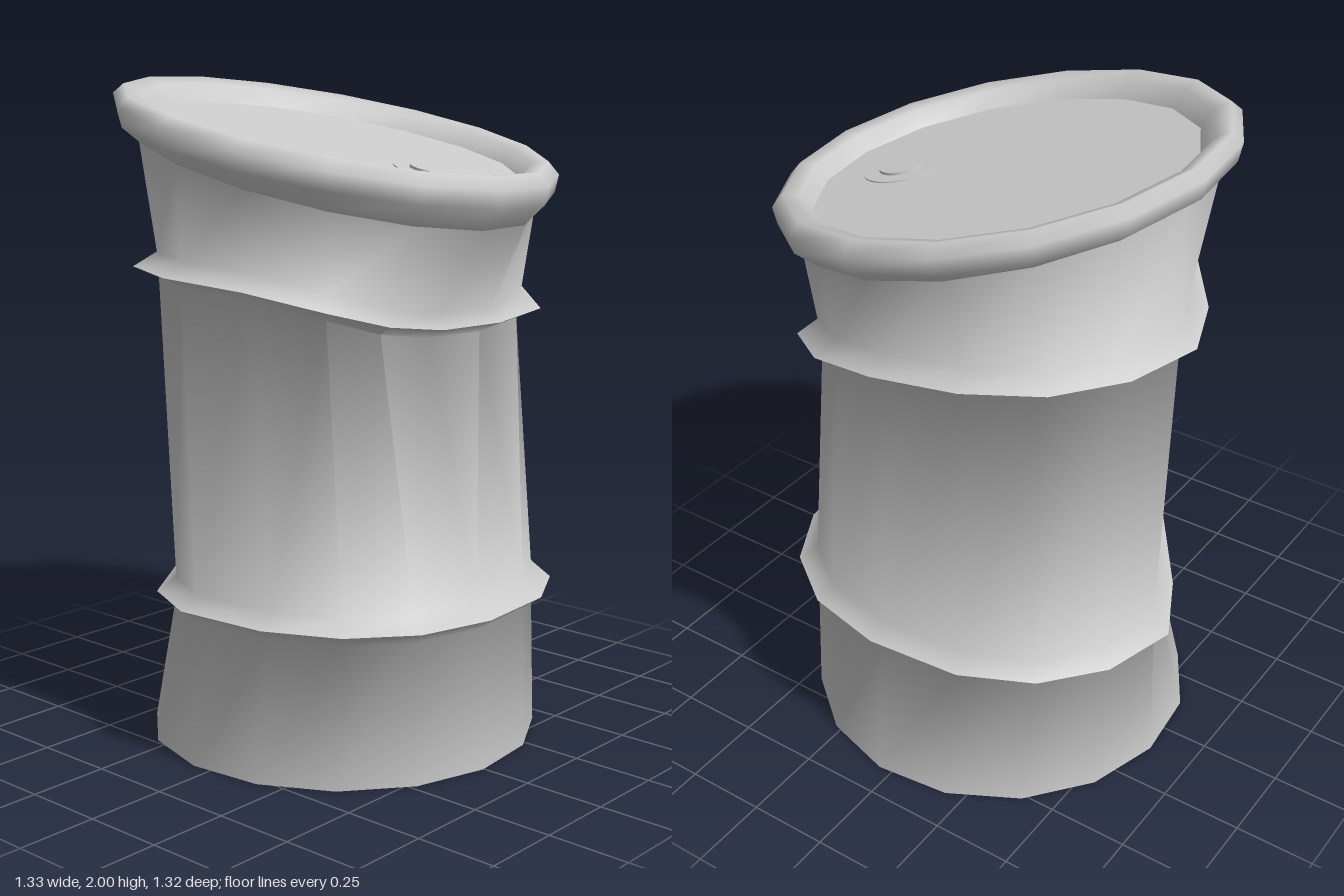
import * as THREE from 'three';
import { toCreasedNormals } from 'three/addons/utils/BufferGeometryUtils.js';

const SIDES = 16;
const TURN = 0.09;          // rotation of the facets about the axis
const SLOPE_X = -0.21;      // tilt of the lid plane
const SLOPE_Z = 0.03;
const LID_Y = 1.825;
const FRONT_RIGHT = 2.53;   // direction of the dent on the -x, +z corner

const material = new THREE.MeshStandardMaterial({ color: 0xcccccc });

const soften = (v, power) => Math.sign(v) * Math.abs(v) ** power;

// One horizontal section: optional tilt, sag on the +x side, squareness (power below 1)
// and flats [angle, distance] that press the outline in.
function ring({ y, cx = 0, cz = 0, rx, rz = rx, sx = 0, sz = 0, sag = 0, power = 1, flats = [] }) {
  const points = [];
  for (let i = 0; i < SIDES; i++) {
    const a = TURN + (i / SIDES) * Math.PI * 2;
    let x = cx + rx * soften(Math.cos(a), power);
    let z = cz + rz * soften(Math.sin(a), power);
    for (const [angle, distance] of flats) {
      const nx = Math.cos(angle), nz = Math.sin(angle);
      const over = Math.max(0, x * nx + z * nz - distance);
      x -= over * nx;
      z -= over * nz;
    }
    const drop = sag * Math.max(0, Math.cos(a + 0.2)) ** 1.5;
    points.push([x, y + sx * x + sz * z - drop, z]);
  }
  return points;
}

// Skin a list of rings from the bottom up
function loft(name, rings) {
  const index = [];
  for (let j = 0; j < rings.length - 1; j++) {
    for (let i = 0; i < SIDES; i++) {
      const n = (i + 1) % SIDES;
      const a = j * SIDES + i, b = j * SIDES + n;
      index.push(a, a + SIDES, b, b, a + SIDES, b + SIDES);
    }
  }
  return build(name, rings.flat(2), index);
}

// Close a ring with a fan
function disc(name, points, up) {
  const centre = [0, 1, 2].map((k) => points.reduce((t, p) => t + p[k], 0) / SIDES);
  const index = [];
  for (let i = 0; i < SIDES; i++) {
    const n = (i + 1) % SIDES;
    if (up) index.push(SIDES, n, i);
    else index.push(SIDES, i, n);
  }
  return build(name, [...points, centre].flat(), index);
}

function build(name, positions, index) {
  const geometry = new THREE.BufferGeometry();
  geometry.setAttribute('position', new THREE.Float32BufferAttribute(positions, 3));
  geometry.setIndex(index);
  const mesh = new THREE.Mesh(toCreasedNormals(geometry, 1.4), material);
  mesh.name = name;
  return mesh;
}

export function createModel() {
  const barrel = new THREE.Group();
  barrel.name = 'dentedBarrel';

  // Foot and lower hoop, pressed in at the front right
  const foot = ring({ y: 0, cx: -0.01, cz: -0.05, rx: 0.605, flats: [[FRONT_RIGHT, 0.57]] });
  const low = (y, rx, rz, flat) =>
    ring({ y, cz: -0.022, rx, rz, power: 0.88, flats: [[FRONT_RIGHT, flat]] });

  // Upper hoop, also pressed flat and sagging on the +x side
  const high = (y, rx, rz, flat, side) =>
    ring({ y, cx: -0.03, cz: -0.005, rx, rz, sx: -0.05, sag: 0.13, power: 0.92, flats: [[FRONT_RIGHT, flat], [0, side]] });

  // Rim sections share the tilted lid plane; the neck below it leans a little more
  const neck = ring({ y: LID_Y - 0.088, rx: 0.6, rz: 0.592, sx: -0.25, sz: SLOPE_Z });
  const rim = [[0.65, -0.04], [0.662, 0.015], [0.63, 0.048], [0.585, 0.035], [0.547, -0.015]]
    .map(([r, h]) => ring({ y: LID_Y + h, cx: 0.008, rx: r, sx: SLOPE_X, sz: SLOPE_Z }));

  barrel.add(
    disc('bottom', foot, false),
    loft('wallAndHoops', [
      foot,
      low(0.44, 0.592, 0.55, 0.46), low(0.48, 0.648, 0.605, 0.51), low(0.52, 0.59, 0.55, 0.455),
      high(1.415, 0.575, 0.55, 0.49, 0.41), high(1.447, 0.637, 0.612, 0.56, 0.47), high(1.49, 0.578, 0.55, 0.495, 0.45),
      neck,
    ]),
    loft('rim', [neck, ...rim]),
    disc('lid', rim[rim.length - 1], true),
  );

  // Filler cap lying on the tilted lid
  const cap = new THREE.Group();
  cap.name = 'fillerCap';
  cap.position.set(0.345, LID_Y - 0.017 + SLOPE_X * 0.345 - SLOPE_Z * 0.04, -0.04);
  cap.rotation.set(-SLOPE_Z, 0, Math.atan(SLOPE_X));
  for (const [name, r, h] of [['capFlange', 0.117, 0.006], ['capPlug', 0.07, 0.014]]) {
    const part = new THREE.Mesh(new THREE.CylinderGeometry(r, r, h, 20), material);
    part.name = name;
    part.position.y = h / 2;
    cap.add(part);
  }
  barrel.add(cap);
  return barrel;
}
